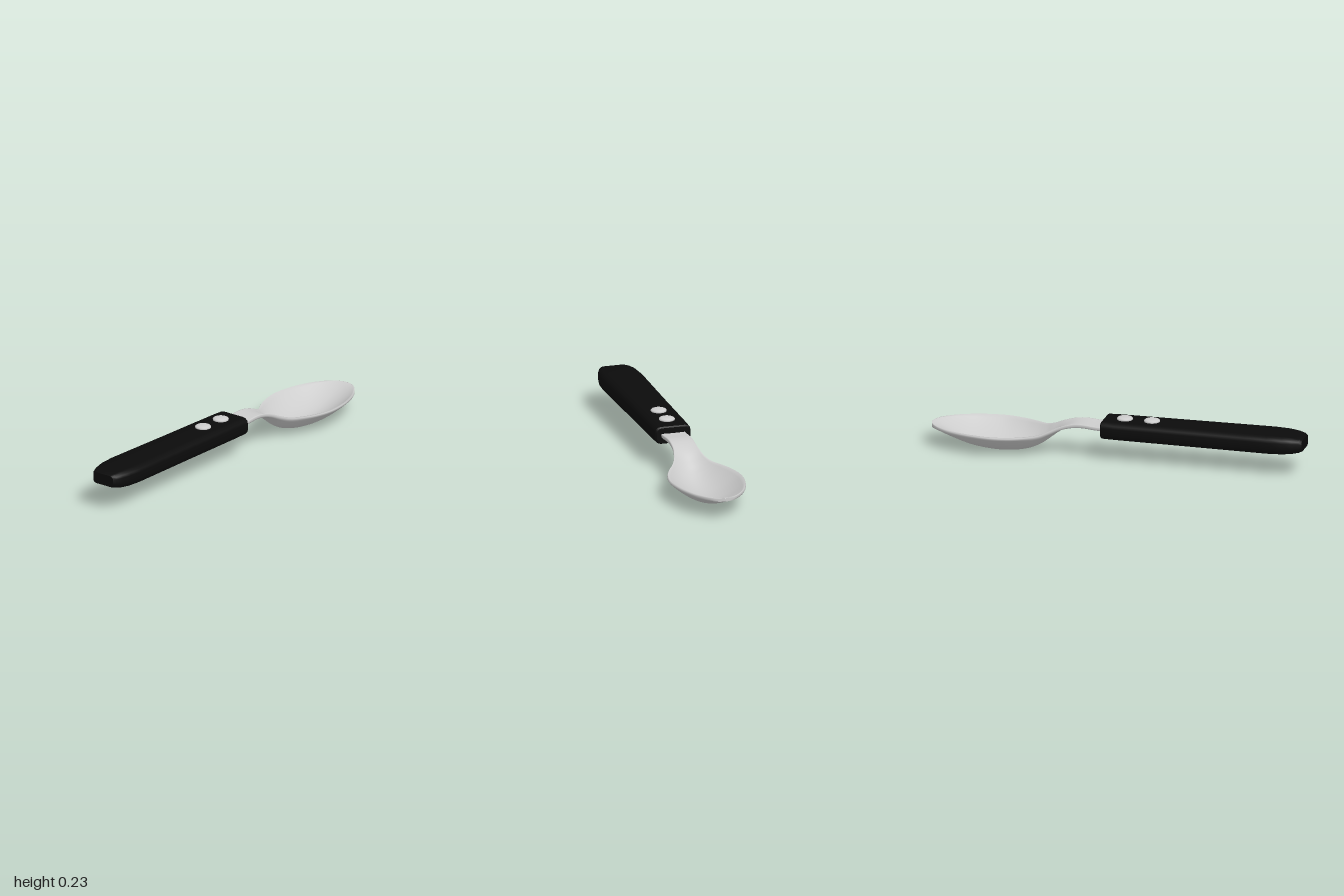
import * as THREE from 'three';
import { toCreasedNormals } from 'three/addons/utils/BufferGeometryUtils.js';

// Skin a list of closed sections (counterclockwise seen from +z, ordered by rising z), with end caps
function loft(sections) {
  const n = sections[0].length, last = sections.length - 1;
  const pos = sections.flat().flatMap(p => [p.x, p.y, p.z]);
  const idx = [];
  for (let i = 0; i < last; i++) {
    for (let j = 0; j < n; j++) {
      const k = (j + 1) % n;
      const a = i * n + j, b = i * n + k, c = b + n, d = a + n;
      idx.push(a, b, c, a, c, d);
    }
  }
  [0, last].forEach(i => {
    const centre = new THREE.Vector3();
    sections[i].forEach(p => centre.addScaledVector(p, 1 / n));
    const m = pos.length / 3;
    pos.push(centre.x, centre.y, centre.z);
    for (let j = 0; j < n; j++) {
      const a = i * n + j, b = i * n + (j + 1) % n;
      if (i === 0) idx.push(m, b, a); else idx.push(m, a, b);
    }
  });
  const geo = new THREE.BufferGeometry();
  geo.setAttribute('position', new THREE.Float32BufferAttribute(pos, 3));
  geo.setIndex(idx);
  geo.computeVertexNormals();
  return geo;
}

// Bowl and neck: z, half width, rim height, underside height
const SPOON = [
  [-1, 0.003, 0.118, 0.1], [-0.99, 0.042, 0.119, 0.099], [-0.97, 0.073, 0.12, 0.092],
  [-0.93, 0.109, 0.12, 0.075], [-0.87, 0.146, 0.12, 0.05], [-0.77, 0.18, 0.12, 0.018],
  [-0.65, 0.195, 0.119, 0.003], [-0.55, 0.178, 0.118, 0.006], [-0.47, 0.145, 0.119, 0.022],
  [-0.41, 0.11, 0.122, 0.05], [-0.36, 0.084, 0.138, 0.087], [-0.3, 0.068, 0.164, 0.133],
  [-0.24, 0.064, 0.181, 0.159], [-0.18, 0.064, 0.186, 0.166], [-0.1, 0.065, 0.18, 0.16],
  [0, 0.065, 0.178, 0.158],
];

function spoonGeometry() {
  const outline = new THREE.CatmullRomCurve3(
    SPOON.map(([z, w, rim]) => new THREE.Vector3(w, rim, z)), false, 'catmullrom');
  const keel = new THREE.CatmullRomCurve3(
    SPOON.map(([z, , , low]) => new THREE.Vector3(0, low, z)), false, 'catmullrom');
  const steps = 90, across = 24, thick = 0.019;
  const sections = [];
  for (let i = 0; i <= steps; i++) {
    const { x: w, y: rim, z } = outline.getPoint(i / steps);
    const low = keel.getPoint(i / steps).y;
    const dip = t => low + Math.max(0, rim - thick - low) * Math.pow(Math.abs(t), 1.9);
    const ring = [];
    for (let j = 0; j <= across; j++) {
      const t = j / across * 2 - 1;
      ring.push(new THREE.Vector3(t * w * 0.97, dip(t), z));
    }
    // rounded rim on either edge
    ring.push(new THREE.Vector3(w, rim - thick * 0.6, z), new THREE.Vector3(w * 0.995, rim - thick * 0.25, z));
    for (let j = across; j >= 0; j--) {
      const t = j / across * 2 - 1;
      ring.push(new THREE.Vector3(t * w * 0.97, dip(t) + thick, z));
    }
    ring.push(new THREE.Vector3(-w * 0.995, rim - thick * 0.25, z), new THREE.Vector3(-w, rim - thick * 0.6, z));
    sections.push(ring);
  }
  return loft(sections);
}

// Grip: z, half width, half height
const GRIP = [
  [-0.077, 0.088, 0.04], [-0.07, 0.096, 0.046], [0, 0.099, 0.047], [0.4, 0.103, 0.048],
  [0.7, 0.108, 0.0485], [0.82, 0.11, 0.0485], [0.9, 0.104, 0.047], [0.95, 0.092, 0.043],
  [0.985, 0.078, 0.037], [1, 0.066, 0.03],
];

function gripGeometry() {
  const bevel = 3;
  return loft(GRIP.map(([z, w, h]) => {
    const ring = [], rx = w * 0.32, ry = h * 0.62;
    [[1, 1], [-1, 1], [-1, -1], [1, -1]].forEach(([sx, sy], q) => {
      for (let k = 0; k <= bevel; k++) {
        const a = (q + k / bevel) * Math.PI / 2;
        ring.push(new THREE.Vector3(
          sx * (w - rx) + rx * Math.cos(a), 0.169 + sy * (h - ry) + ry * Math.sin(a), z));
      }
    });
    return ring;
  }));
}

export function createModel() {
  const group = new THREE.Group();
  const steel = new THREE.MeshStandardMaterial({ color: 0xcccccc });
  const black = new THREE.MeshStandardMaterial({ color: 0x0b0b0b });
  const add = (name, geometry, material) => {
    const mesh = new THREE.Mesh(geometry, material);
    mesh.name = name;
    group.add(mesh);
    return mesh;
  };

  add('bowlAndNeck', spoonGeometry(), steel);
  add('handle', toCreasedNormals(gripGeometry(), 0.6), black);

  // Domed rivets on the top of the handle
  const dome = [[0.036, 0], [0.041, 0.006], [0.042, 0.011], [0.038, 0.016], [0.028, 0.02], [0.014, 0.0215], [0, 0.022]];
  const rivet = new THREE.LatheGeometry(dome.map(([x, y]) => new THREE.Vector2(x, y)), 28);
  [0.035, 0.18].forEach((z, i) => {
    add(i ? 'rearRivet' : 'frontRivet', rivet, steel).position.set(0, 0.21, z);
  });
  return group;
}
